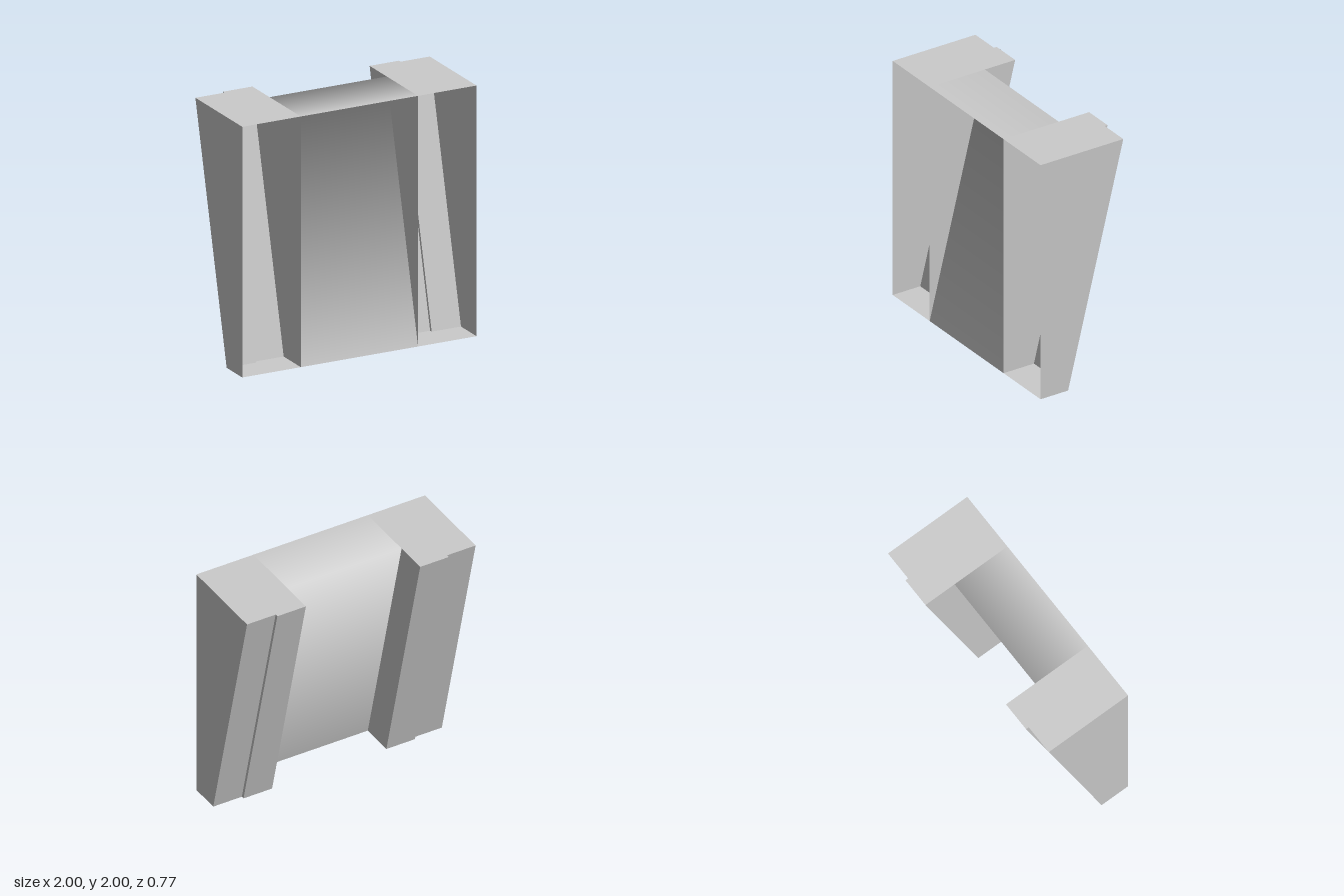
import * as THREE from 'three';

const H = 2;          // height
const FRONT = 0.3875; // z of the open front
const LEAN = 0.5;     // how far the back leans out from bottom to top

function createMaterial() {
  return new THREE.MeshStandardMaterial({ color: 0xcccccc, side: THREE.DoubleSide });
}

function geometryFrom(points, normals) {
  const geo = new THREE.BufferGeometry();
  geo.setAttribute('position', new THREE.Float32BufferAttribute(points.flat(), 3));
  if (normals) geo.setAttribute('normal', new THREE.Float32BufferAttribute(normals.flat(), 3));
  else geo.computeVertexNormals();
  return geo;
}

// Hollow pier, open at the front, with a stepped sloping back
function createPier(side) {
  const inner = 0.1125, outer = inner + 0.025;
  const plan = [[1, FRONT], [1, outer], [0.75, outer], [0.75, inner], [0.5, inner], [0.5, FRONT]];
  const bottom = plan.map(([x, z]) => [side * x, 0, z]);
  const top = plan.map(([x, z]) => [side * x, H, z === FRONT ? z : z - LEAN]);
  const points = [];
  const tri = (a, b, c) => points.push(...(side > 0 ? [a, b, c] : [a, c, b]));

  // side, back and step walls
  for (let i = 0; i < plan.length - 1; i++) {
    tri(bottom[i], bottom[i + 1], top[i + 1]);
    tri(bottom[i], top[i + 1], top[i]);
  }
  // top and floor, fanned from the inside corner of the step
  for (const [a, b] of [[3, 4], [4, 5], [5, 0], [0, 1]]) {
    tri(top[2], top[a], top[b]);
    tri(bottom[2], bottom[b], bottom[a]);
  }
  return new THREE.Mesh(geometryFrom(points), createMaterial());
}

// Recessed sloping panel with a flat top ledge, softly shaded across the fold
function createPanel() {
  const slope = new THREE.Vector3(0, -LEAN, -H).normalize();
  const up = new THREE.Vector3(0, 1, 0);
  const fold = slope.clone().add(up).normalize();
  const profile = [
    { y: 0, z: FRONT, n: slope },
    { y: H, z: FRONT - LEAN, n: fold },
    { y: H, z: FRONT, n: up },
  ];
  const points = [], normals = [], index = [];
  profile.forEach(({ y, z, n }, i) => {
    for (const x of [0.5, -0.5]) {
      points.push([x, y, z]);
      normals.push(n.toArray());
    }
    if (i > 0) {
      const k = 2 * i;
      index.push(k - 2, k - 1, k + 1, k - 2, k + 1, k);
    }
  });
  const geo = geometryFrom(points, normals);
  geo.setIndex(index);
  return new THREE.Mesh(geo, createMaterial());
}

export function createModel() {
  const model = new THREE.Group();
  model.name = 'slopedWallSection';
  for (const side of [1, -1]) {
    const pier = createPier(side);
    pier.name = side > 0 ? 'leftPier' : 'rightPier';
    model.add(pier);
  }
  const panel = createPanel();
  panel.name = 'recessedPanel';
  model.add(panel);
  return model;
}
